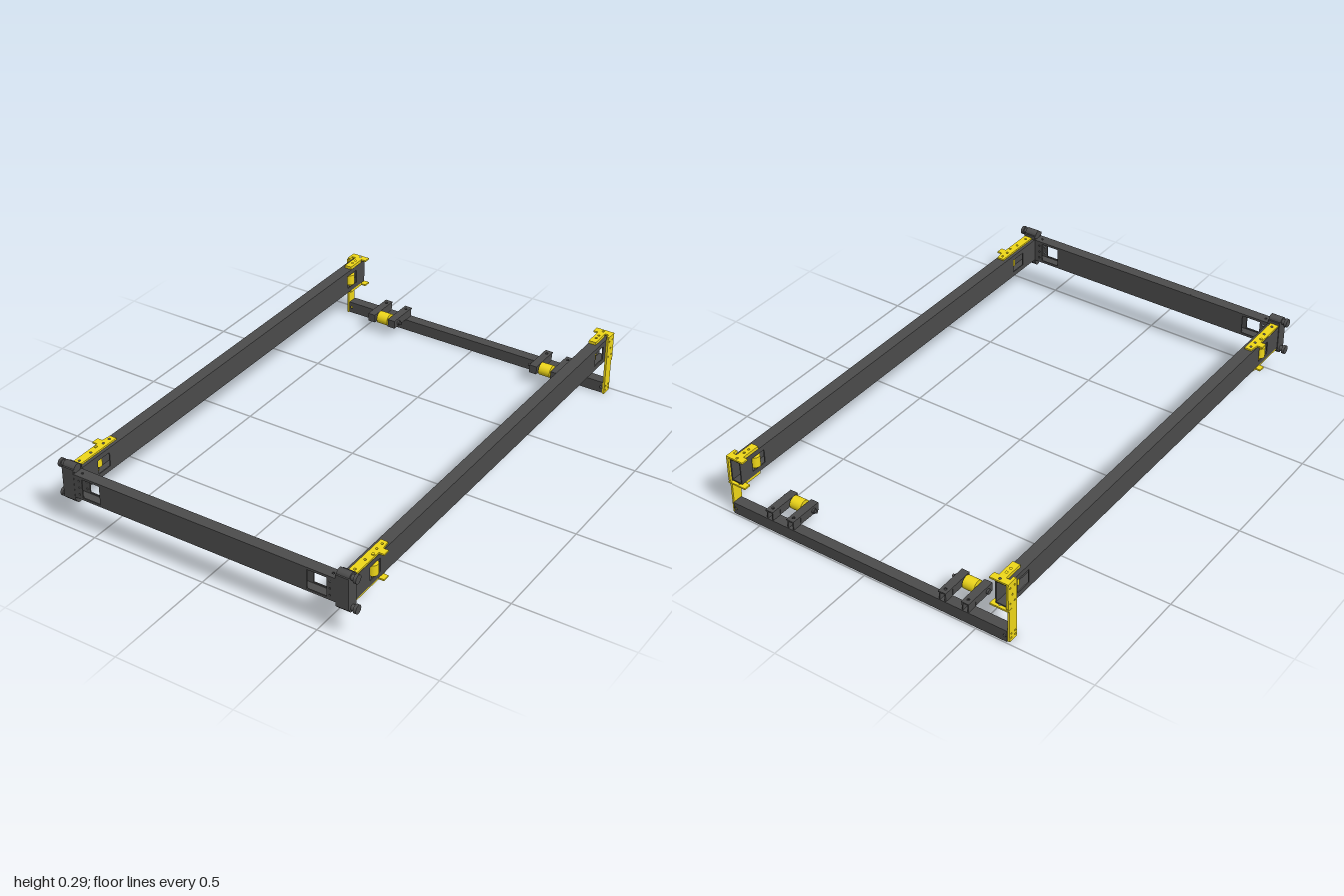
import * as THREE from 'three';

const dark = new THREE.MeshStandardMaterial({ color: 0x4c4c4c });
const yellow = new THREE.MeshStandardMaterial({ color: 0xf0d818 });
const HALF = Math.PI / 2;

function add(parent, name, geometry, material, x = 0, y = 0, z = 0) {
  const mesh = new THREE.Mesh(geometry, material);
  mesh.name = name;
  mesh.position.set(x, y, z);
  parent.add(mesh);
  return mesh;
}

// Axis-aligned box from its min and max corners
function box(parent, name, material, x0, x1, y0, y1, z0, z1) {
  return add(parent, name, new THREE.BoxGeometry(Math.abs(x1 - x0), y1 - y0, z1 - z0), material,
    (x0 + x1) / 2, (y0 + y1) / 2, (z0 + z1) / 2);
}

function cylX(r, length, sides = 24) {
  return new THREE.CylinderGeometry(r, r, length, sides).rotateZ(HALF);
}

// Flat plate, centred on its thickness; holes are [x, y, radius] or [x, y, width, height]
function plate(points, holes, t) {
  const shape = new THREE.Shape(points.map(([x, y]) => new THREE.Vector2(x, y)));
  for (const [x, y, a, b] of holes) {
    const path = new THREE.Path();
    if (b === undefined) path.absarc(x, y, a, 0, Math.PI * 2, true);
    else {
      path.moveTo(x - a / 2, y - b / 2).lineTo(x - a / 2, y + b / 2);
      path.lineTo(x + a / 2, y + b / 2).lineTo(x + a / 2, y - b / 2).closePath();
    }
    shape.holes.push(path);
  }
  return new THREE.ExtrudeGeometry(shape, { depth: t, bevelEnabled: false, curveSegments: 8 }).translate(0, 0, -t / 2);
}
const rect = (w, h) => [[-w / 2, -h / 2], [w / 2, -h / 2], [w / 2, h / 2], [-w / 2, h / 2]];
const flat = (points, holes, t) => plate(points, holes, t).rotateX(HALF);   // points are x, z
const side = (points, holes, t) => plate(points, holes, t).rotateY(-HALF);  // points are z, y

// Open-ended box tube running along x
function tube(name, length, h, d, sideHoles, topHoles) {
  const g = new THREE.Group(), t = 0.005;
  g.name = name;
  for (const s of [-1, 1]) {
    add(g, name + 'Wall', plate(rect(length, h), sideHoles, t), dark, 0, 0, s * (d - t) / 2);
    add(g, name + 'Flange', flat(rect(length, d - 2 * t), s > 0 ? topHoles : [], t), dark, 0, s * (h - t) / 2, 0);
  }
  return g;
}

// Guide roller on a vertical pin
function guideRoller(parent, x, z) {
  add(parent, 'guideRoller', new THREE.CylinderGeometry(0.02, 0.02, 0.046, 24), yellow, x, 0.206, z);
  add(parent, 'guideRollerPin', new THREE.CylinderGeometry(0.006, 0.006, 0.124, 12), yellow, x, 0.206, z);
}

// Corner joining the front beam to a side beam
function frontCorner(s) {
  const g = new THREE.Group();
  g.name = 'frontCorner';
  box(g, 'cornerFrontPlate', dark, s * 0.578, s * 0.632, 0.14, 0.275, 0.994, 1);
  box(g, 'cornerBackPlate', dark, s * 0.578, s * 0.632, 0.14, 0.275, 0.948, 0.954);
  box(g, 'cornerSidePlate', dark, s * 0.626, s * 0.632, 0.14, 0.275, 0.954, 0.994);
  for (const y of [0.141, 0.271]) {
    add(g, 'cornerBarrel', cylX(0.019, 0.054), dark, s * 0.605, y, 0.975);
    add(g, 'bumperAxle', cylX(0.012, 0.022), dark, s * 0.64, y, 0.975);
    add(g, 'bumperCap', cylX(0.018, 0.012), dark, s * 0.651, y, 0.975);
  }
  // Clamp plates above and below the side beam, with an outward tab
  const outline = [[0.592, 0.73], [0.622, 0.73], [0.628, 0.77], [0.65, 0.77], [0.65, 0.8],
    [0.628, 0.8], [0.628, 0.946], [0.592, 0.946]].map(([x, z]) => [s * x, z]);
  const holes = [0.75, 0.785, 0.86, 0.925].map(z => [s * 0.61, z, 0.005]);
  for (const y of [0.151, 0.261]) add(g, 'frontClampPlate', flat(outline, holes, 0.007), yellow, 0, y, 0);
  guideRoller(g, s * 0.618, 0.82);
  return g;
}

// Hanger that drops from the side beam to the rear crossbar
function rearCorner(s) {
  const g = new THREE.Group();
  g.name = 'rearCorner';
  const hanger = [[-0.99, 0], [-0.945, 0], [-0.945, 0.265], [-0.998, 0.265], [-0.998, 0.155], [-0.99, 0.145]];
  const bolts = [[-0.985, 0.245], [-0.958, 0.245], [-0.972, 0.21], [-0.985, 0.175], [-0.958, 0.175],
    [-0.979, 0.033], [-0.956, 0.033], [-0.979, 0.015], [-0.956, 0.015]];
  add(g, 'hangerPlate', side(hanger, bolts.map(([z, y]) => [z, y, 0.004]), 0.009), yellow, s * 0.635, 0, 0);
  const outline = [[0.56, -0.998], [0.64, -0.998], [0.64, -0.95], [0.628, -0.95], [0.628, -0.97], [0.612, -0.97],
    [0.612, -0.885], [0.58, -0.885], [0.58, -0.968], [0.56, -0.968]].map(([x, z]) => [s * x, z]);
  const holes = [-0.985, -0.945, -0.92].map(z => [s * 0.596, z, 0.005]);
  for (const y of [0.146, 0.266]) add(g, 'rearClampPlate', flat(outline, holes, 0.007), yellow, 0, y, 0);
  for (const y of [0.151, 0.26]) box(g, 'clampSpacer', yellow, s * 0.58, s * 0.612, y - 0.004, y + 0.004, -0.965, -0.885);
  guideRoller(g, s * 0.592, -0.895);
  return g;
}

// Support wheel between two arms on the rear crossbar
function supportWheel(s) {
  const g = new THREE.Group();
  g.name = 'supportWheel';
  for (const x of [0.35, 0.45]) {
    const x0 = s * x - 0.017;
    const pts = rect(0.034, 0.145).map(([px, pz]) => [px, pz - 0.922]);
    add(g, 'wheelArmTop', flat(pts, [[0, -0.972, 0.006]], 0.006), dark, s * x, 0.087, 0);
    box(g, 'wheelArm', dark, x0, x0 + 0.034, 0.054, 0.084, -0.952, -0.85);
    box(g, 'wheelArmFoot', dark, x0 + 0.002, x0 + 0.007, 0.05, 0.084, -0.992, -0.952);
    box(g, 'wheelArmFoot', dark, x0 + 0.027, x0 + 0.032, 0.05, 0.084, -0.992, -0.952);
  }
  add(g, 'wheel', cylX(0.027, 0.052, 32), yellow, s * 0.4, 0.071, -0.88);
  add(g, 'wheelAxle', cylX(0.006, 0.16, 12), dark, s * 0.395, 0.071, -0.88);
  add(g, 'axleHead', cylX(0.011, 0.01, 6), dark, s * 0.471, 0.071, -0.88);
  add(g, 'axleNut', cylX(0.011, 0.01, 6), dark, s * 0.329, 0.071, -0.88);
  return g;
}

export function createModel() {
  const model = new THREE.Group();
  model.name = 'frame';

  // Front beam with a window near each end
  const windows = [];
  for (const s of [-1, 1]) {
    windows.push([s * 0.5, 0, 0.082, 0.082]);
    for (const y of [-0.03, 0, 0.03]) windows.push([s * 0.555, y, 0.004]);
  }
  const front = tube('frontBeam', 1.25, 0.102, 0.048, windows, [[-0.555, 0, 0.005], [0.555, 0, 0.005]]);
  front.position.set(0, 0.206, 0.975);
  model.add(front);

  // Rear crossbar
  const rear = tube('rearCrossbar', 1.26, 0.05, 0.045, [[-0.62, 0, 0.006], [0.62, 0, 0.006]], []);
  rear.position.set(0, 0.025, -0.972);
  model.add(rear);

  for (const s of [-1, 1]) {
    // Side beam, local x runs toward -z
    const beam = tube('sideBeam', 1.938, 0.102, 0.05, [[-0.845, 0, 0.07, 0.06], [0.87, 0, 0.07, 0.06]], []);
    beam.rotation.y = HALF;
    beam.position.set(s * 0.604, 0.206, -0.021);
    model.add(beam, frontCorner(s), rearCorner(s), supportWheel(s));
  }
  return model;
}
